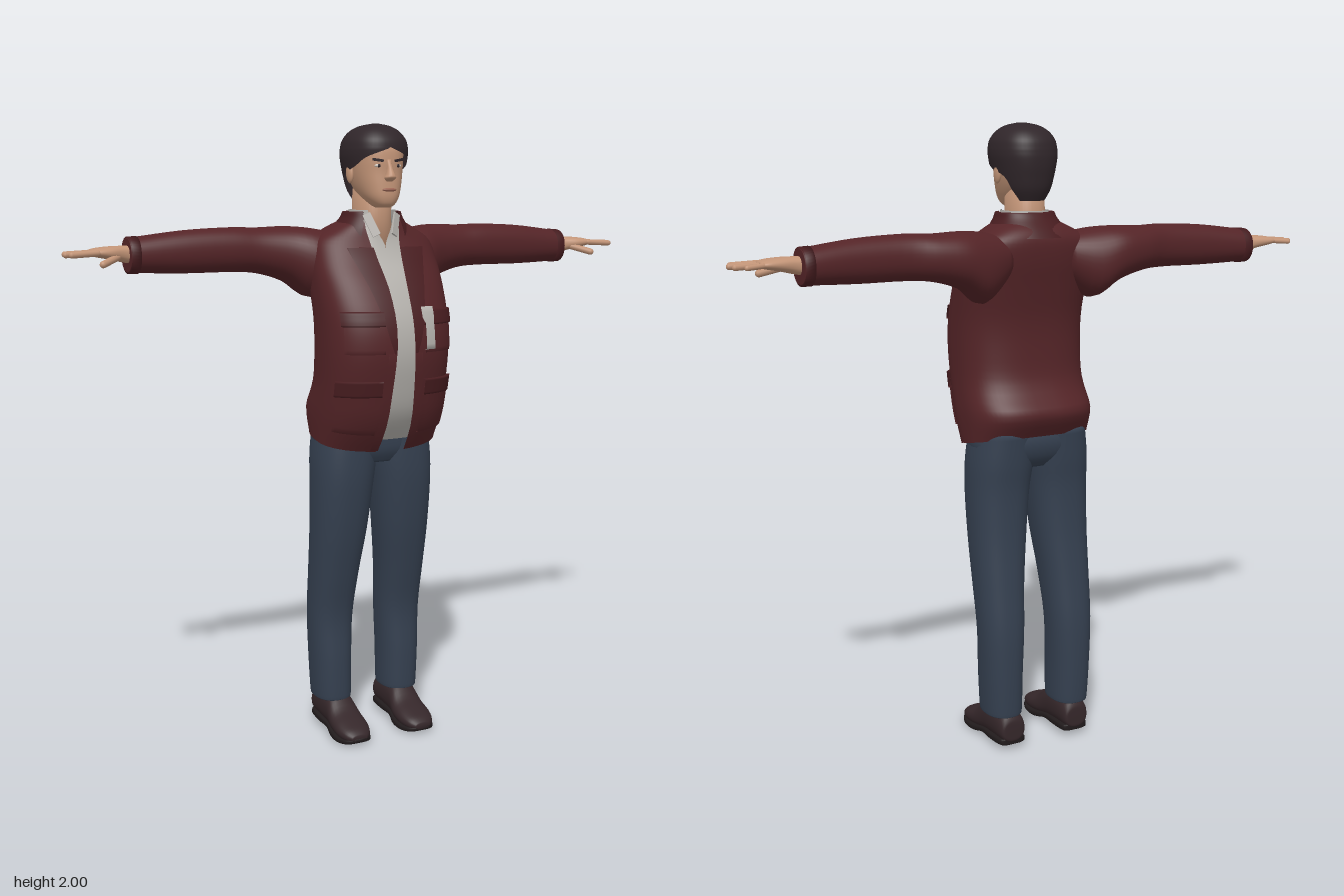
import * as THREE from 'three';
import { mergeVertices } from 'three/addons/utils/BufferGeometryUtils.js';

const paint = (name, color, open) => {
  const m = new THREE.MeshStandardMaterial({ color });
  m.name = name;
  if (open) m.side = THREE.DoubleSide;
  return m;
};
const TAU = Math.PI * 2;
const spow = (v, e) => Math.sign(v) * Math.pow(Math.abs(v), e);

// Smooth the rows of a profile table, k steps per span
function smooth(rows, k = 4) {
  const out = [];
  for (let i = 0; i < rows.length - 1; i++) {
    const r = [rows[Math.max(i - 1, 0)], rows[i], rows[i + 1], rows[Math.min(i + 2, rows.length - 1)]];
    for (let j = 0; j < k; j++) {
      const t = j / k;
      out.push(r[1].map((b, c) => {
        const a = r[0][c], d = r[2][c], e = r[3][c];
        return b + 0.5 * t * (d - a + t * (2 * a - 5 * b + 4 * d - e + t * (3 * (b - d) + e - a)));
      }));
    }
  }
  out.push(rows[rows.length - 1]);
  return out;
}

// Skin over superellipse sections: rows are [position, a0, a1, b0, b1, startAngle, endAngle]
function loft(axis, rows, { n = 2.3, seg = 40, caps = true, ref = null, bend = null } = {}) {
  const pos = [], idx = [];
  const put = (p, a, b) => pos.push(...(axis === 'x' ? [p, b, a] : axis === 'y' ? [a, p, b] : [a, b, p]));
  rows.forEach(([p, a0, a1, b0, b1, s = 0, e = TAU - Math.max(s, 0)]) => {
    if (e > Math.PI) s = Math.max(s, 0);
    for (let j = 0; j <= seg; j++) {
      const t = s + (e - s) * j / seg;
      put(p, (a0 + a1) / 2 + (a1 - a0) / 2 * spow(Math.sin(t), 2 / n),
        (b0 + b1) / 2 + (b1 - b0) / 2 * spow(Math.cos(t), 2 / n));
    }
  });
  const w = seg + 1, last = (rows.length - 1) * w;
  for (let i = 0; i < rows.length - 1; i++) for (let j = 0; j < seg; j++) {
    const q = i * w + j;
    idx.push(q, q + 1, q + w, q + 1, q + w + 1, q + w);
  }
  if (caps) [[rows[0], 0], [rows[rows.length - 1], last]].forEach(([r, o]) => {
    const c = pos.length / 3;
    put(r[0], (r[1] + r[2]) / 2, (r[3] + r[4]) / 2);
    for (let j = 0; j < seg; j++) idx.push(...(o ? [o + j, o + j + 1, c] : [o + j + 1, o + j, c]));
  });
  const v = i => new THREE.Vector3().fromArray(pos, i * 3);
  // Turn every face outward
  const mid = ref || new THREE.Box3().setFromArray(pos).getCenter(new THREE.Vector3());
  let vol = 0;
  for (let i = 0; i < idx.length; i += 3) {
    const [a, b, c] = [0, 1, 2].map(k => v(idx[i + k]).sub(mid));
    vol += a.dot(b.cross(c));
  }
  if (vol < 0) idx.reverse();
  let g = new THREE.BufferGeometry();
  g.setAttribute('position', new THREE.Float32BufferAttribute(pos, 3));
  g.setIndex(idx);
  if (bend) {
    const P = g.attributes.position;
    for (let i = 0; i < P.count; i++) P.setY(i, bend(P.getY(i), P.getZ(i), P.getX(i)));
  }
  g = mergeVertices(g, 1e-5);
  g.computeVertexNormals();
  return g;
}

// [y, half width, back, front, ...] to a symmetric row
const sym = rows => rows.map(([y, w, zb, zf, ...r]) => [y, -w, w, zb, zf, ...r]);
// Swap the sideways extents to the other side
const flip = (rows, s) => rows.map(([p, a0, a1, b0, b1]) => s > 0 ? [p, a0, a1, b0, b1] : [p, -a1, -a0, b0, b1]);
const angle = (x, w, n) => Math.asin(Math.min(1, Math.pow(Math.max(x, 0) / w, n / 2)));

export function createModel() {
  const root = new THREE.Group();
  root.name = 'standingMan';
  const M = {
    jacket: paint('jacketMaroon', 0x542427, true), trim: paint('jacketTrim', 0x481d20, true),
    shirt: paint('shirtGrey', 0xb5b2ad, true), denim: paint('trouserBlue', 0x354050),
    skin: paint('skin', 0xc29477), hair: paint('hairDark', 0x30262a, true),
    shoe: paint('shoeBrown', 0x35272a), sole: paint('soleDark', 0x211b1c),
    lip: paint('lips', 0x9c6655), eye: paint('eyeWhite', 0xcfc6be),
  };
  const add = (name, geo, mat) => {
    const m = new THREE.Mesh(geo, mat);
    m.name = name;
    root.add(m);
    return m;
  };
  const ball = (name, mat, p, s) => {
    const m = add(name, new THREE.SphereGeometry(1, 20, 14), mat);
    m.position.set(...p);
    m.scale.set(...s);
    return m;
  };
  const capsule = (name, mat, a, b, r) => {
    const A = new THREE.Vector3(...a), B = new THREE.Vector3(...b), d = B.clone().sub(A);
    const m = add(name, new THREE.CapsuleGeometry(r, d.length(), 5, 10), mat);
    m.position.copy(A).add(B).multiplyScalar(0.5);
    m.quaternion.setFromUnitVectors(new THREE.Vector3(0, 1, 0), d.normalize());
  };

  // Jacket body: y, half width, back, front, half opening
  const N = 2.6;
  const body = smooth([
    [1.005, .208, -.16, .10, .05], [1.10, .214, -.198, .165, .045], [1.2, .211, -.14, .192, .04],
    [1.3, .212, -.125, .206, .035], [1.4, .213, -.125, .194, .033], [1.5, .216, -.142, .148, .036],
    [1.58, .215, -.158, .095, .045], [1.64, .2, -.162, .062, .052], [1.675, .15, -.15, .05, .058],
    [1.7, .1, -.125, .045, .058]]);
  const hem = (y, z, x) => y - Math.max(0, 1.15 - y) / .145 * (z * .2 + (z > 0 ? .012 * (1 - Math.abs(x) / .22) : 0));
  add('jacketBody', loft('y', sym(body.map(([y, w, b, f, g]) => [y, w, b, f, angle(g, w, N)])),
    { n: N, seg: 64, caps: false, bend: hem }), M.jacket);
  const at = y => {
    let i = 0;
    while (i < body.length - 2 && body[i + 1][0] < y) i++;
    const t = (y - body[i][0]) / (body[i + 1][0] - body[i][0]);
    return body[i].map((v, c) => v + (body[i + 1][c] - v) * t);
  };
  // Thin panel lying on the jacket; edge(y) returns its inner and outer x
  const panel = (name, mat, s, y0, y1, edge, off, steps = 8) => {
    const ys = [...Array(steps + 1).keys()].map(i => [y0 + (y1 - y0) * i / steps, off]);
    const rows = [[y0, 0], ...ys, [y1, 0]].map(([y, o]) => {
      const [, w, b, f, g] = at(y), [xa, xb] = edge(y, g);
      return [y, w + o, b - o, f + o, s * angle(xa, w, N), s * angle(xb, w, N)];
    });
    add(name, loft('y', sym(rows), { n: N, seg: 12, caps: false, ref: new THREE.Vector3(0, 1.35, 0), bend: hem }), mat);
  };
  for (const s of [1, -1]) {
    panel('lapel', M.trim, s, 1.3, 1.62, (y, g) => [g - .004, g + .004 + .075 * Math.pow((y - 1.3) / .32, .8)], .008);
    panel('frontPlacket', M.jacket, s, 1.01, 1.3, (y, g) => [g - .004, g + .022], .005);
    panel('chestPocket', M.jacket, s, 1.3, 1.41, () => [.068, .18], .005);
    panel('chestPocketFlap', M.trim, s, 1.385, 1.43, () => [.064, .184], .009);
    panel('hipPocket', M.jacket, s, 1.06, 1.19, () => [.075, .19], .006);
    panel('hipPocketFlap', M.trim, s, 1.165, 1.215, () => [.07, .194], .01);
  }
  panel('chestPatch', M.shirt, 1, 1.31, 1.44, y => y > 1.4 ? [.058, .1] : [.066, .097], .0125);
  // Jacket collar
  add('jacketCollar', loft('y', smooth(sym([[1.655, .14, -.165, .066, .52], [1.68, .122, -.148, .064, .56],
    [1.71, .1, -.122, .056, .62], [1.73, .092, -.108, .048, .68], [1.725, .084, -.1, .042, .68]])),
    { seg: 48, caps: false }), M.trim);

  // Shirt with an open neck
  add('shirt', loft('y', smooth(sym([[1.01, .18, -.13, .085, 0], [1.1, .19, -.13, .147, 0], [1.2, .19, -.11, .178, 0],
    [1.3, .19, -.1, .193, 0], [1.4, .19, -.1, .181, 0], [1.5, .19, -.11, .138, 0], [1.58, .17, -.12, .088, 0],
    [1.64, .12, -.12, .062, .03], [1.69, .08, -.11, .053, .32], [1.735, .07, -.105, .048, .65]])),
    { n: 2.4, seg: 56, caps: false }), M.shirt);
  for (const s of [1, -1]) {
    const c = add('shirtCollarPoint', new THREE.BoxGeometry(.026, .075, .006), M.shirt);
    c.position.set(s * .042, 1.69, .055);
    c.rotation.set(-.25, s * .45, -s * .35);
  }

  // Hips, legs and shoes
  add('hips', loft('y', smooth(sym([[.93, .12, -.12, .045], [.97, .185, -.148, .063], [1.03, .198, -.155, .066],
    [1.12, .18, -.12, .07]])), { n: 2.6 }), M.denim);
  for (const s of [1, -1]) {
    add('trouserLeg', loft('y', smooth(flip([[.115, .066, .182, -.172, -.02], [.125, .062, .186, -.176, -.016],
      [.25, .06, .192, -.18, -.015], [.4, .053, .197, -.178, -.018], [.55, .042, .2, -.162, .012],
      [.7, .024, .203, -.147, .043], [.85, .008, .205, -.143, .063], [.95, -.005, .203, -.152, .067],
      [1.05, -.01, .19, -.158, .064]], s)), { n: 2.4 }), M.denim);
    add('shoe', loft('z', smooth(flip([[-.18, .09, .145, .04, .08], [-.17, .075, .162, .025, .115],
      [-.1, .07, .168, .02, .14], [-.04, .068, .169, .015, .13], [.01, .06, .174, .01, .088],
      [.06, .06, .175, .008, .068], [.1, .072, .163, .01, .052], [.12, .092, .143, .016, .036]], s)),
      { seg: 28 }), M.shoe);
    add('shoeSole', loft('z', smooth(flip([[-.177, .09, .145, .02, .042], [-.165, .072, .163, .016, .042],
      [-.1, .07, .168, .012, .038], [-.04, .07, .167, .012, .034], [.01, .058, .176, .001, .026],
      [.06, .057, .178, 0, .022], [.1, .07, .165, .004, .023], [.12, .093, .142, .012, .025]], s)),
      { n: 4, seg: 28 }), M.sole);
  }

  // Sleeves, hands and fingers
  for (const s of [1, -1]) {
    const out = rows => rows.map(([x, ...r]) => [s * x, ...r]);
    add('sleeve', loft('x', smooth(out([[.1, 1.53, 1.655, -.15, .0].map((v, i) => [.1, -.15, .0, 1.53, 1.66][i]),
      [.19, -.198, .01, 1.46, 1.678], [.27, -.212, -.028, 1.51, 1.684], [.36, -.2, -.05, 1.538, 1.681],
      [.45, -.178, -.055, 1.545, 1.683], [.6, -.177, -.062, 1.545, 1.676], [.75, -.187, -.072, 1.55, 1.658],
      [.775, -.183, -.077, 1.553, 1.654]])), { n: 2.2 }), M.jacket);
    add('cuff', loft('x', out([[.745, -.19, -.07, 1.547, 1.661], [.772, -.19, -.07, 1.547, 1.659],
      [.774, -.175, -.085, 1.56, 1.645]]), { n: 2.2 }), M.trim);
    add('palm', loft('x', smooth(out([[.74, -.155, -.1, 1.575, 1.632], [.785, -.156, -.092, 1.582, 1.633],
      [.83, -.164, -.074, 1.592, 1.632], [.87, -.167, -.072, 1.6, 1.628], [.893, -.16, -.08, 1.605, 1.622]])),
      { n: 2.4, seg: 28 }), M.skin);
    [[-.08, .955, -.07, .0095], [-.105, .966, -.1, .0095], [-.131, .96, -.136, .009], [-.154, .935, -.167, .008]]
      .forEach(([z0, x, z1, r]) => capsule('finger', M.skin, [s * .875, 1.614, z0], [s * x, 1.61, z1], r));
    capsule('thumb', M.skin, [s * .815, 1.6, -.09], [s * .868, 1.582, -.052], .011);
  }

  // Neck and head
  add('neck', loft('y', sym([[1.6, .07, -.1, .035], [1.7, .058, -.1, .038], [1.8, .056, -.1, .045]])), M.skin);
  add('head', loft('y', smooth(sym([[1.742, .02, .02, .075], [1.752, .036, -.01, .09], [1.775, .054, -.05, .097],
    [1.81, .068, -.09, .096], [1.85, .077, -.11, .093], [1.89, .081, -.118, .093], [1.93, .082, -.115, .085],
    [1.97, .05, -.08, .05]])), { n: 2.4 }), M.skin);
  add('nose', loft('y', smooth(sym([[1.822, .01, .08, .1], [1.833, .018, .08, .117], [1.843, .014, .08, .117],
    [1.862, .009, .08, .107], [1.888, .008, .08, .095]])), { seg: 20 }), M.skin);
  ball('mouth', M.lip, [0, 1.797, .094], [.024, .006, .008]);
  for (const s of [1, -1]) {
    ball('ear', M.skin, [s * .085, 1.848, -.012], [.01, .032, .019]).rotation.x = -.15;
    ball('eye', M.eye, [s * .033, 1.87, .083], [.013, .0055, .007]);
    ball('iris', M.hair, [s * .033, 1.87, .0875], [.0055, .0055, .004]);
    const brow = add('eyebrow', new THREE.BoxGeometry(.034, .008, .008), M.hair);
    brow.position.set(s * .035, 1.887, .086);
    brow.rotation.set(0, s * .3, s * .14);
  }
  // Hair, open around the face
  add('hair', loft('y', smooth(sym([[1.765, .058, -.1, .06, 2.35], [1.8, .077, -.118, .08, 2.1],
    [1.84, .088, -.127, .09, 1.85], [1.868, .094, -.132, .098, 1.2], [1.895, .099, -.134, .101, .75],
    [1.912, .1, -.133, .103, .3], [1.926, .099, -.131, .103, 0], [1.95, .093, -.124, .097, 0],
    [1.975, .074, -.102, .076, 0], [1.992, .045, -.07, .047, 0], [2, .008, -.03, .01, 0]])),
    { seg: 48, caps: false }), M.hair);
  return root;
}
